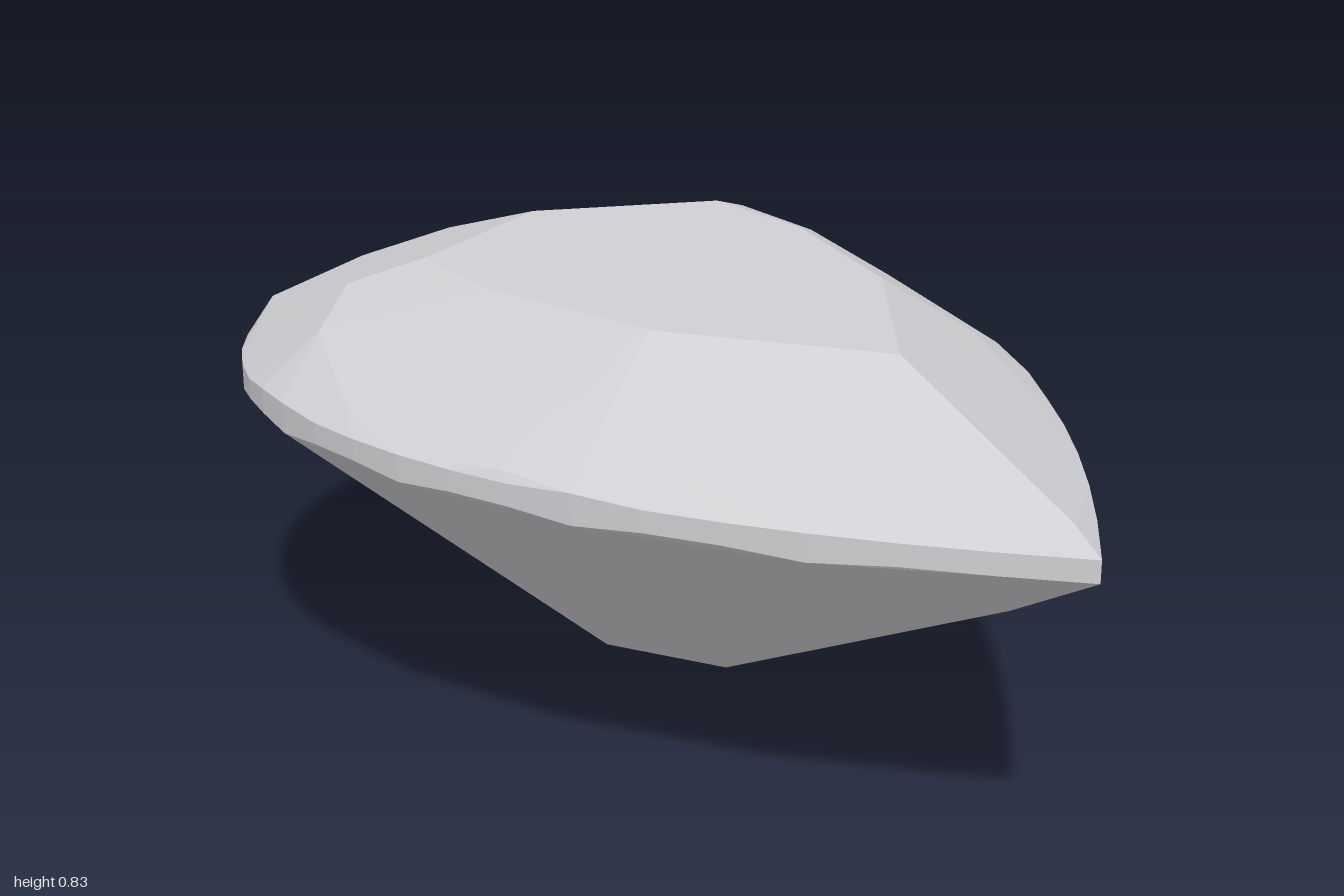
import * as THREE from 'three';
import { ConvexGeometry } from 'three/addons/geometries/ConvexGeometry.js';

const CROWN_BASE = 0.637, PAVILION_TOP = 0.598;
const HEAD_STEPS = 12, TAIL_STEPS = 12;

// Half of the pear outline as [x, z], from the round back to the pointed front
function halfOutline() {
  const pts = [];
  for (let i = 0; i < HEAD_STEPS; i++) {
    const a = (i / HEAD_STEPS) * Math.PI / 2;
    pts.push([0.664 * Math.sin(a), -0.34 - 0.66 * Math.cos(a)]);
  }
  const tail = new THREE.QuadraticBezierCurve(
    new THREE.Vector2(0.664, -0.34), new THREE.Vector2(0.664, 0.3), new THREE.Vector2(0, 1));
  for (const p of tail.getPoints(TAIL_STEPS)) pts.push([p.x, p.y]);
  return pts;
}

// Keep only the hull triangles that belong to one part
function pickFaces(hull, test) {
  const src = hull.getAttribute('position').array;
  const out = [];
  for (let i = 0; i < src.length; i += 9) {
    const ys = [src[i + 1], src[i + 4], src[i + 7]];
    if (test(Math.min(...ys), Math.max(...ys))) out.push(...src.slice(i, i + 9));
  }
  const g = new THREE.BufferGeometry();
  g.setAttribute('position', new THREE.Float32BufferAttribute(out, 3));
  g.computeVertexNormals();
  return g;
}

export function createModel() {
  const gem = new THREE.Group();
  gem.name = 'pearCutGem';
  const crystal = new THREE.MeshStandardMaterial({ color: 0xd0d0d4 });
  crystal.name = 'crystal grey';

  const points = [];
  const add = (x, y, z) => {
    points.push(new THREE.Vector3(x, y, z));
    if (x > 1e-6) points.push(new THREE.Vector3(-x, y, z));
  };

  // Table corners, on one side
  for (const [x, z] of [[0, -0.55], [0.33, -0.4], [0.34, -0.15], [0.25, 0.19], [0, 0.53]]) {
    add(x, 0.835, z);
  }

  // Corners between the crown facets
  for (const c of [
    [0, 0.73, -0.87], [0.15, 0.675, -0.965], [0.45, 0.69, -0.78], [0.45, 0.79, -0.475],
    [0.56, 0.74, -0.39], [0.612, 0.68, -0.21], [0.545, 0.655, 0.18],
    [0.41, 0.72, 0.27], [0, 0.675, 0.94],
  ]) add(...c);

  // Girdle rims: the lower one dips at each pavilion facet edge
  halfOutline().forEach(([x, z], i) => {
    const bump = 0.013 * Math.max(0, 1 - Math.abs(z + 0.39) / 0.1)
      + 0.008 * Math.max(0, 1 - Math.abs(z - 0.3) / 0.1);
    add(x, CROWN_BASE + bump, z);
    const dip = i % 3 === 0 && i < 2 * HEAD_STEPS ? 0.01 : 0;
    add(x, PAVILION_TOP - dip, z);
  });

  // Keel and culet
  add(0, 0.485, 0.81);
  add(0, 0.1, 0.07);
  add(0, 0, -0.32);

  const hull = new ConvexGeometry(points);
  const parts = {
    crown: (lo) => lo > 0.62,
    girdle: (lo, hi) => lo <= 0.62 && hi > 0.62,
    pavilion: (lo, hi) => hi <= 0.62,
  };
  for (const [name, test] of Object.entries(parts)) {
    const mesh = new THREE.Mesh(pickFaces(hull, test), crystal);
    mesh.name = name;
    gem.add(mesh);
  }
  return gem;
}
